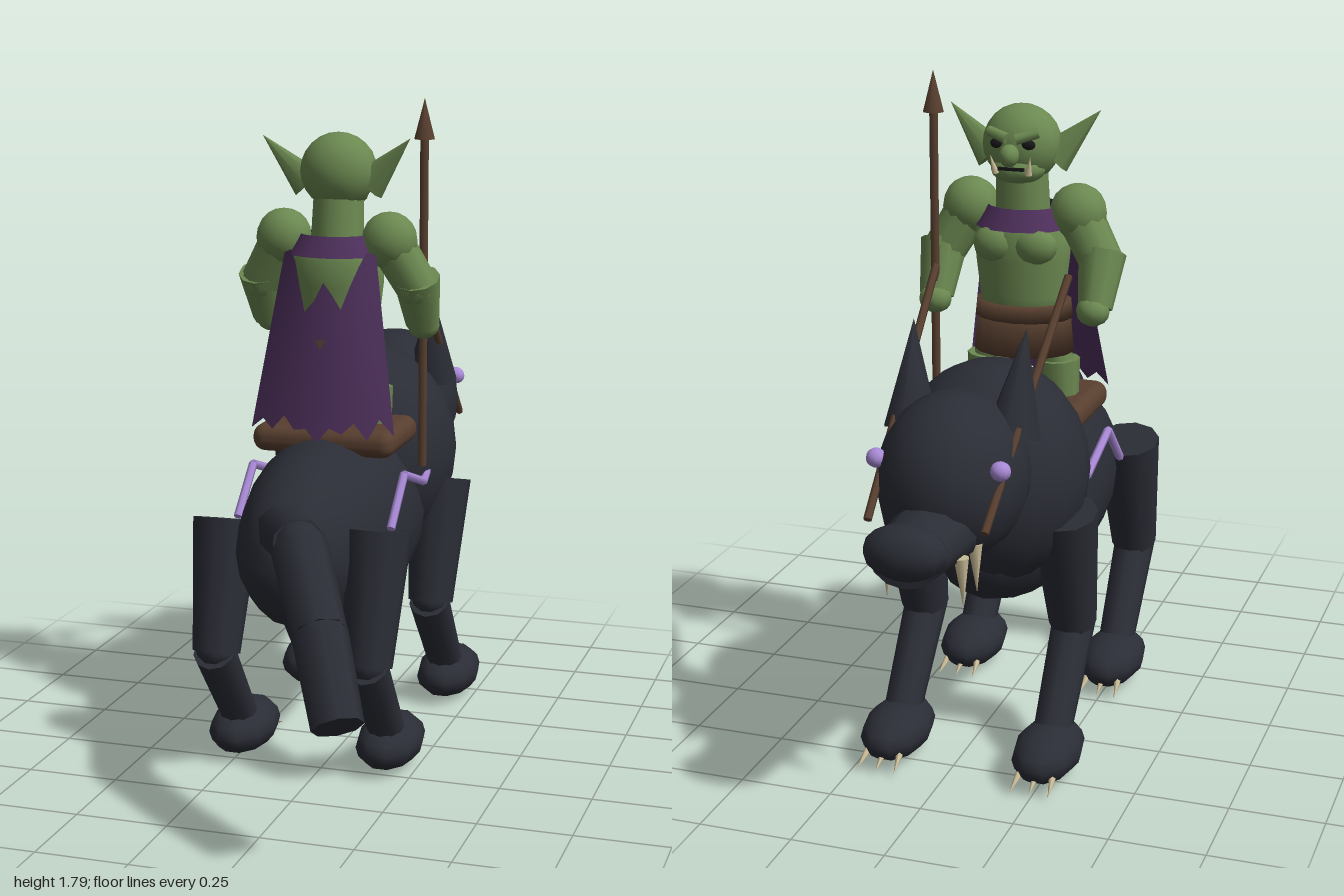
import * as THREE from 'three';
import { RoundedBoxGeometry } from 'three/addons/geometries/RoundedBoxGeometry.js';

const mat = (name, color, side = THREE.FrontSide) => {
  const m = new THREE.MeshStandardMaterial({ color, side });
  m.name = name;
  return m;
};

export function createModel() {
  const fur = mat('dark fur', 0x2b2d36);
  const skin = mat('green skin', 0x6c8951);
  const cloth = mat('purple cloth', 0x4e305c, THREE.DoubleSide);
  const glow = mat('lilac glow', 0xa98ad6);
  const leather = mat('brown leather', 0x583f2f);
  const bone = mat('bone', 0xcbbd98);
  const black = mat('black', 0x17171a);

  const root = new THREE.Group();
  root.name = 'beastAndRider';
  const beast = new THREE.Group();
  beast.name = 'beast';
  const rider = new THREE.Group();
  rider.name = 'rider';
  root.add(beast, rider);

  const V = (p) => new THREE.Vector3(...p);
  const add = (parent, name, geo, m, pos = [0, 0, 0]) => {
    const mesh = new THREE.Mesh(geo, m);
    mesh.name = name;
    mesh.position.set(...pos);
    parent.add(mesh);
    return mesh;
  };
  // ellipsoid
  const ball = (parent, name, m, pos, r, w = 14, h = 10) => {
    const mesh = add(parent, name, new THREE.SphereGeometry(1, w, h), m, pos);
    mesh.scale.set(...r);
    return mesh;
  };
  // tapered cylinder running from a to b
  const limb = (parent, name, m, a, b, ra, rb, sides = 10) => {
    const A = V(a), B = V(b), d = B.clone().sub(A);
    const mesh = add(parent, name, new THREE.CylinderGeometry(rb, ra, d.length(), sides), m);
    mesh.position.copy(A).add(B).multiplyScalar(0.5);
    mesh.quaternion.setFromUnitVectors(new THREE.Vector3(0, 1, 0), d.normalize());
    return mesh;
  };
  const spike = (parent, name, m, a, b, r, sides = 8) => limb(parent, name, m, a, b, r, 0, sides);

  // ---- Beast: trunk, head and muzzle ----
  ball(beast, 'body', fur, [0, 0.635, 0], [0.22, 0.272, 0.525], 16, 12);
  ball(beast, 'chest', fur, [0, 0.78, -0.3], [0.262, 0.302, 0.275], 16, 12);
  ball(beast, 'head', fur, [0, 0.865, -0.585], [0.192, 0.217, 0.222], 16, 12);
  limb(beast, 'muzzle', fur, [0, 0.765, -0.6], [0, 0.765, -0.94], 0.125, 0.088, 12).scale.z = 0.8;
  ball(beast, 'nose', fur, [0, 0.785, -0.928], [0.108, 0.07, 0.07], 12, 8);

  // tail in three straight joints
  const tail = [[0, 0.72, 0.42], [0.12, 0.75, 0.66], [0.225, 0.585, 0.82], [0.31, 0.4, 0.945]];
  for (let i = 0; i < 3; i++) {
    limb(beast, 'tailSegment', fur, tail[i], tail[i + 1], 0.076 - i * 0.003, 0.071 - i * 0.003, 8);
    if (i) ball(beast, 'tailJoint', fur, tail[i], [0.066, 0.066, 0.066], 8, 6);
  }

  for (const s of [-1, 1]) {
    spike(beast, 'beastEar', fur, [s * 0.135, 0.96, -0.525], [s * 0.15, 1.225, -0.46], 0.075);
    ball(beast, 'beastEye', glow, [s * 0.162, 0.93, -0.7], [0.027, 0.025, 0.025], 10, 8);
    for (const z of [-0.7, -0.8])
      spike(beast, 'fang', bone, [s * 0.095, 0.735, z], [s * 0.1, 0.605, z], 0.02);
    limb(beast, 'rein', leather, [s * 0.182, 1.3, -0.21], [s * 0.152, 0.8, -0.79], 0.011, 0.011, 6);

    // jagged glowing mark on the flank
    const mark = [[0.68, 0.185], [0.8, 0.06], [0.735, -0.14], [0.765, -0.19]];
    for (let i = 0; i < 3; i++)
      limb(beast, 'flankMark', glow, [s * 0.217, ...mark[i]], [s * 0.217, ...mark[i + 1]], 0.012, 0.012, 6);

    // hind and front legs share one shape
    for (const z of [0, -0.62]) {
      const x = s * 0.212;
      limb(beast, 'upperLeg', fur, [x, 0.7, 0.285 + z], [x, 0.355, 0.375 + z], 0.09, 0.064);
      ball(beast, 'knee', fur, [x, 0.36, 0.375 + z], [0.056, 0.05, 0.056], 10, 6);
      limb(beast, 'lowerLeg', fur, [x, 0.36, 0.39 + z], [x, 0.1, 0.185 + z], 0.058, 0.05);
      ball(beast, 'paw', fur, [x, 0.078, 0.16 + z], [0.09, 0.07, 0.153], 10, 8);
      for (const c of [-0.045, 0, 0.045])
        spike(beast, 'claw', bone, [x + c, 0.052, 0.05 + z], [x + c * 1.15, 0.027, -0.01 + z], 0.01, 6);
    }
  }
  add(beast, 'saddle', new RoundedBoxGeometry(0.4, 0.075, 0.28, 3, 0.034), leather, [0, 0.888, -0.01]);

  // ---- Rider: torso and clothes ----
  const lathe = (pts, n = 16) => new THREE.LatheGeometry(pts.map((p) => new THREE.Vector2(...p)), n);
  add(rider, 'torso', lathe([[0, 1.12], [0.11, 1.12], [0.118, 1.2], [0.13, 1.3], [0.132, 1.37], [0.1, 1.42], [0, 1.45]]),
    skin, [0, 0, -0.03]).scale.z = 0.75;
  add(rider, 'skirt', lathe([[0, 1.04], [0.138, 1.04], [0.128, 1.15], [0, 1.15]]), leather, [0, 0, -0.02]).scale.z = 0.8;
  add(rider, 'belt', lathe([[0, 1.135], [0.135, 1.135], [0.13, 1.18], [0, 1.18]]), leather, [0, 0, -0.02]).scale.z = 0.8;
  add(rider, 'collar', lathe([[0.135, 1.385], [0.1, 1.44]]), cloth, [0, 0, -0.02]).scale.z = 0.87;
  limb(rider, 'neck', skin, [0, 1.42, -0.03], [0, 1.53, -0.04], 0.074, 0.07, 12);

  // cape: a grid with ragged top and hem, curving round the back
  const top = [1.39, 1.4, 1.37, 1.31, 1.24, 1.27, 1.32, 1.29, 1.25, 1.31, 1.36, 1.4, 1.39];
  const hem = [0.915, 0.945, 0.92, 0.96, 0.925, 0.93, 0.895, 0.935, 0.92, 0.95, 0.905, 0.96, 0.915];
  const cape = new THREE.PlaneGeometry(2, 1, 12, 8);
  const cp = cape.attributes.position;
  for (let i = 0; i < cp.count; i++) {
    const c = i % 13, t = Math.floor(i / 13) / 8, u = cp.getX(i);
    const y = top[c] + (hem[c] - top[c]) * t;
    const drop = (1.4 - y) / 0.5;
    cp.setXYZ(i, u * (0.128 + 0.077 * drop), y, 0.085 + 0.075 * drop - 0.05 * u * u);
  }
  cape.computeVertexNormals();
  add(rider, 'cape', cape, cloth);
  const tear = add(rider, 'capeTear', new THREE.CircleGeometry(0.017, 3), leather, [0, 1.16, 0.126]);
  tear.rotation.set(-0.15, 0, -Math.PI / 2);

  // ---- Rider: head and face, looking toward -z ----
  ball(rider, 'riderHead', skin, [0, 1.607, -0.04], [0.106, 0.104, 0.092], 16, 12);
  ball(rider, 'jaw', skin, [0, 1.545, -0.075], [0.075, 0.042, 0.06], 12, 8);
  ball(rider, 'riderNose', skin, [0, 1.592, -0.15], [0.027, 0.03, 0.032], 10, 8);
  add(rider, 'mouth', new THREE.BoxGeometry(0.07, 0.008, 0.009), black, [0, 1.553, -0.133]);

  for (const s of [-1, 1]) {
    const brow = limb(rider, 'brow', skin, [s * 0.012, 1.632, -0.132], [s * 0.068, 1.648, -0.112], 0.015, 0.013, 8);
    brow.name = 'brow';
    ball(rider, 'riderEye', black, [s * 0.042, 1.617, -0.119], [0.02, 0.014, 0.012], 10, 8);
    spike(rider, 'tusk', bone, [s * 0.045, 1.54, -0.125], [s * 0.055, 1.59, -0.14], 0.01);
    const ear = spike(rider, 'riderEar', skin, [s * 0.085, 1.57, -0.035], [s * 0.208, 1.7, -0.015], 0.05, 8);
    ear.scale.z = 0.5;

    // arm, hand, chest and leg
    const shoulder = [s * 0.15, 1.425, -0.02], elbow = [s * 0.222, 1.3, -0.04], wrist = [s * 0.222, 1.19, -0.1];
    ball(rider, 'shoulder', skin, shoulder, [0.078, 0.078, 0.072], 12, 10);
    limb(rider, 'upperArm', skin, shoulder, elbow, 0.062, 0.058);
    ball(rider, 'elbow', skin, elbow, [0.056, 0.056, 0.056], 10, 8);
    limb(rider, 'forearm', skin, [s * 0.222, 1.325, -0.035], wrist, 0.064, 0.046);
    ball(rider, 'hand', skin, [s * 0.22, 1.185, -0.115], [0.046, 0.04, 0.042], 10, 8);
    ball(rider, 'chestMuscle', skin, [s * 0.055, 1.345, -0.1], [0.062, 0.05, 0.042], 12, 8);
    limb(rider, 'thigh', skin, [s * 0.075, 1.1, -0.025], [s * 0.1, 1.0, -0.025], 0.048, 0.042);
    limb(rider, 'shin', skin, [s * 0.1, 1.02, -0.025], [s * 0.105, 0.92, -0.025], 0.058, 0.05);
  }

  // spear held upright at the left hand
  limb(rider, 'spearShaft', leather, [0.218, 0.785, -0.12], [0.218, 1.72, -0.12], 0.012, 0.012, 8);
  spike(rider, 'spearHead', leather, [0.218, 1.69, -0.12], [0.218, 1.8, -0.12], 0.029);

  root.position.x = -0.04;
  const model = new THREE.Group();
  model.name = 'model';
  model.add(root);
  return model;
}
